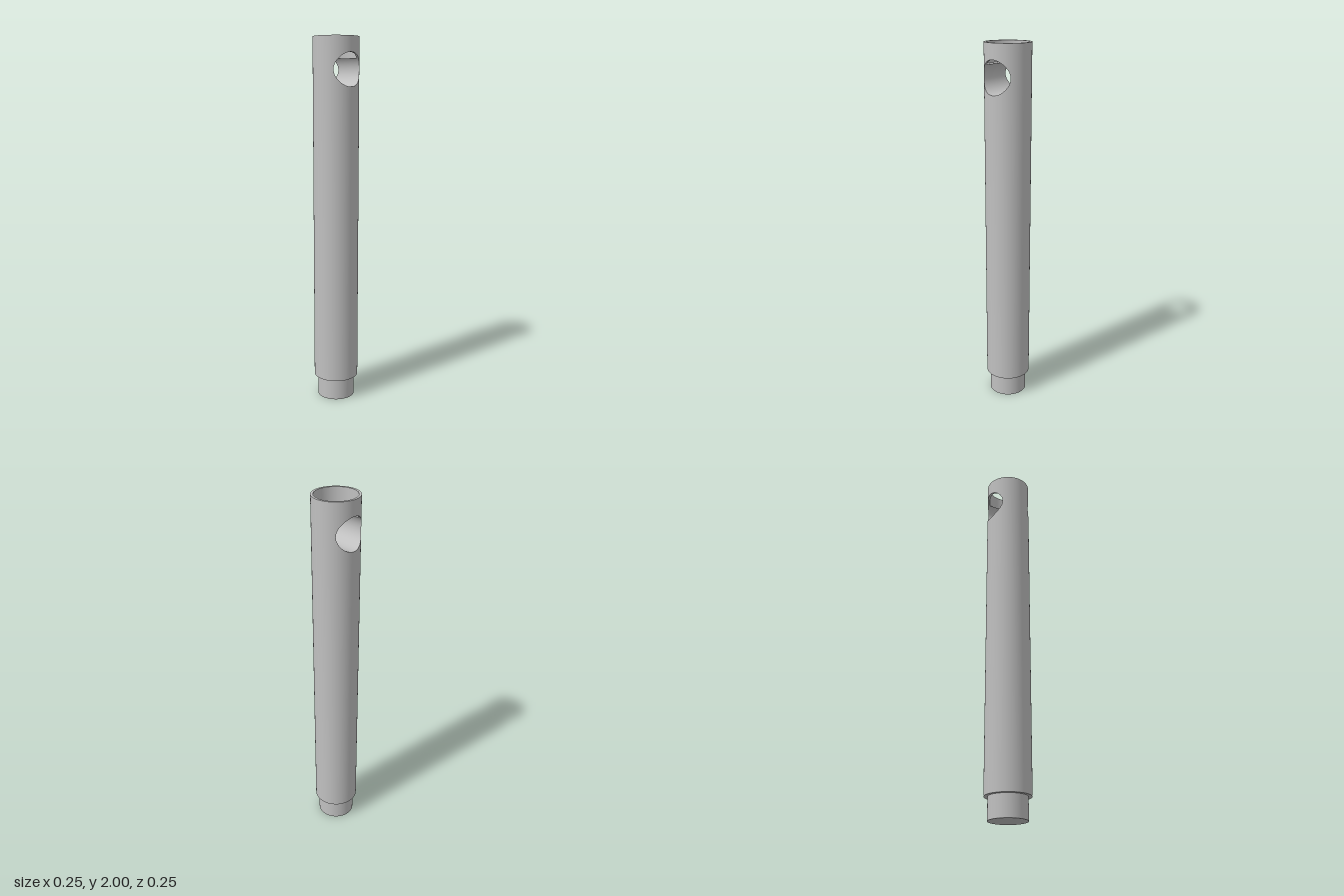
import * as THREE from 'three';

const R = 0.123, BORE = 0.11, TENON = 0.103;   // radii
const SHOULDER = 0.12, TOP = 2;
const HOLE = 0.088, HOLE_Y = 1.83;             // cross hole along x
const EDGE = 42;                               // hole angle (degrees) where the bore floor cuts it
const rad = THREE.MathUtils.degToRad;
const FLOOR = HOLE_Y + HOLE * Math.sin(rad(EDGE));

// Ruled strip: each column is { a, b, n } (two end points and a shared normal)
function strip(columns, flip = false) {
  const pos = [], nor = [], idx = [];
  columns.forEach(({ a, b, n }, i) => {
    pos.push(...a, ...b);
    nor.push(...n, ...n);
    if (i === columns.length - 1) return;
    const k = 2 * i;
    if (flip) idx.push(k, k + 1, k + 2, k + 2, k + 1, k + 3);
    else idx.push(k, k + 2, k + 1, k + 2, k + 3, k + 1);
  });
  const g = new THREE.BufferGeometry();
  g.setAttribute('position', new THREE.Float32BufferAttribute(pos, 3));
  g.setAttribute('normal', new THREE.Float32BufferAttribute(nor, 3));
  g.setIndex(idx);
  return g;
}

// Angles around a tube, each with the half height of the cross hole there
function tubeAngles(radius) {
  const list = [], half = Math.asin(HOLE / radius);
  for (let side = 0; side < 2; side++) {
    for (let d = 0; d <= 180; d += 6) {
      const p = rad(d);
      list.push({ t: side * Math.PI + Math.asin(-HOLE * Math.cos(p) / radius), h: HOLE * Math.sin(p) });
    }
    for (let j = 1; j < 20; j++) {
      list.push({ t: side * Math.PI + half + (Math.PI - 2 * half) * j / 20, h: 0 });
    }
  }
  list.push({ t: list[0].t + 2 * Math.PI, h: 0 });
  return list;
}

// Tube wall between two heights that depend on the hole's half height
function wall(radius, low, high, inward) {
  const s = inward ? -1 : 1;
  return strip(tubeAngles(radius).map(({ t, h }) => {
    const c = Math.cos(t), z = Math.sin(t);
    return {
      a: [radius * c, low(h), radius * z],
      b: [radius * c, high(h), radius * z],
      n: [s * c, 0, s * z],
    };
  }), !inward);
}

// Part of the cross hole's surface, between two x limits that depend on z
function holeWall(from, to, x1, x2) {
  const cols = [];
  for (let d = from; d <= to; d += 6) {
    const c = Math.cos(rad(d)), s = Math.sin(rad(d));
    const y = HOLE_Y + HOLE * s, z = HOLE * c;
    cols.push({ a: [x1(z), y, z], b: [x2(z), y, z], n: [0, -s, -c] });
  }
  return strip(cols);
}

export function createModel() {
  const model = new THREE.Group();
  model.name = 'drilledPost';
  const metal = new THREE.MeshStandardMaterial({ color: 0xc0c0c0 });
  metal.name = 'grey metal';
  const add = (name, geometry) => {
    const m = new THREE.Mesh(geometry, metal);
    m.name = name;
    model.add(m);
    return m;
  };

  // Outer wall, below and above the middle of the cross hole
  add('lowerOuterWall', wall(R, () => SHOULDER, h => HOLE_Y - h, false));
  add('upperOuterWall', wall(R, h => HOLE_Y + h, () => TOP, false));

  // Shallow bore in the top
  add('boreWall', wall(BORE, h => Math.max(FLOOR, HOLE_Y + h), () => TOP, true));
  const a = Math.asin(HOLE * Math.cos(rad(EDGE)) / BORE);
  for (const turn of [0, Math.PI]) {
    const segment = new THREE.Shape();
    segment.absarc(0, 0, BORE, a, Math.PI - a, false);
    const floor = new THREE.ShapeGeometry(segment, 32);
    floor.rotateX(-Math.PI / 2).rotateY(turn).translate(0, FLOOR, 0);
    add('boreFloor', floor);
  }

  // Cross hole: solid below the bore floor, only through the thin wall above it
  const outer = z => Math.sqrt(R * R - z * z);
  const inner = z => Math.sqrt(BORE * BORE - z * z);
  add('crossHole', holeWall(180 - EDGE, 360 + EDGE, z => -outer(z), outer));
  add('crossHoleRightLip', holeWall(EDGE, 180 - EDGE, z => -outer(z), z => -inner(z)));
  add('crossHoleLeftLip', holeWall(EDGE, 180 - EDGE, inner, outer));

  // Top rim and the shoulder above the tenon
  add('topRim', new THREE.RingGeometry(BORE, R, 96).rotateX(-Math.PI / 2).translate(0, TOP, 0));
  add('shoulder', new THREE.RingGeometry(TENON, R, 96).rotateX(Math.PI / 2).translate(0, SHOULDER, 0));

  // Narrow tenon at the foot
  add('tenon', new THREE.CylinderGeometry(TENON, TENON, SHOULDER, 96, 1, true).translate(0, SHOULDER / 2, 0));
  add('tenonBase', new THREE.CircleGeometry(TENON, 96).rotateX(Math.PI / 2));

  return model;
}
